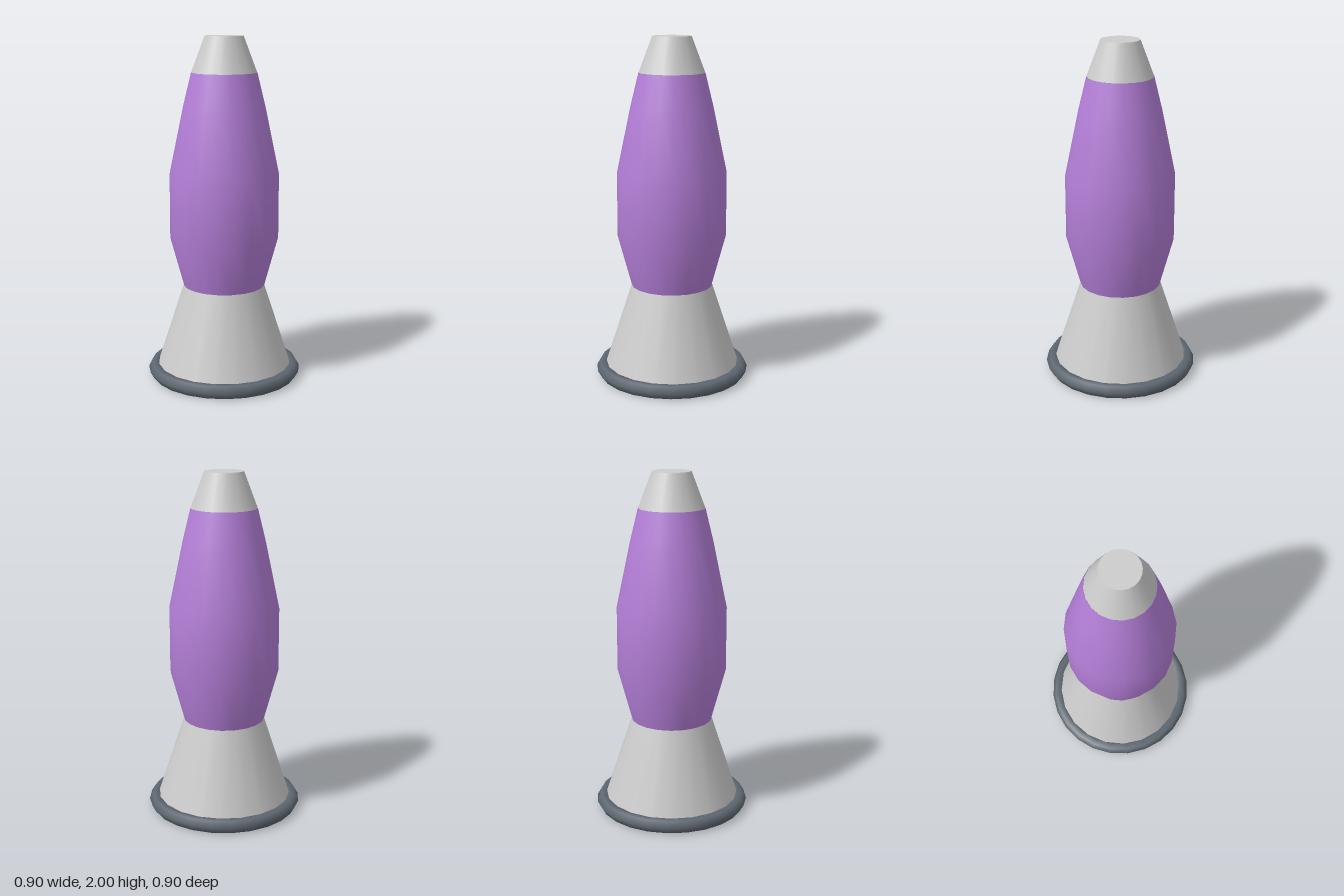
import * as THREE from 'three';

const SIDES = 20;

export function createModel() {
  const group = new THREE.Group();
  const metal = new THREE.MeshStandardMaterial({ color: 0xcccccc });
  const rubber = new THREE.MeshStandardMaterial({ color: 0x5f6872 });
  const glass = new THREE.MeshStandardMaterial({ color: 0xb57fd9, side: THREE.DoubleSide });

  const add = (name, geometry, material, y = 0) => {
    const mesh = new THREE.Mesh(geometry, material);
    mesh.name = name;
    mesh.position.y = y;
    group.add(mesh);
  };

  // Closed cone frustum standing between two heights
  const frustum = (name, rBottom, rTop, y0, y1) =>
    add(name, new THREE.CylinderGeometry(rTop, rBottom, y1 - y0, SIDES), metal, (y0 + y1) / 2);

  frustum('base', 0.418, 0.238, 0, 0.55);
  frustum('cap', 0.189, 0.111, 1.795, 2);

  // Six-sided ring around the foot of the base
  add('footRing', new THREE.TorusGeometry(0.41, 0.042, 6, 24).rotateX(Math.PI / 2), rubber, 0.038);

  // Bulging glass bottle
  const profile = [[0.238, 0.55], [0.318, 0.845], [0.318, 1.22], [0.238, 1.6], [0.19, 1.795]]
    .map(([r, y]) => new THREE.Vector2(r, y));
  add('bottle', new THREE.LatheGeometry(profile, SIDES), glass);

  return group;
}
